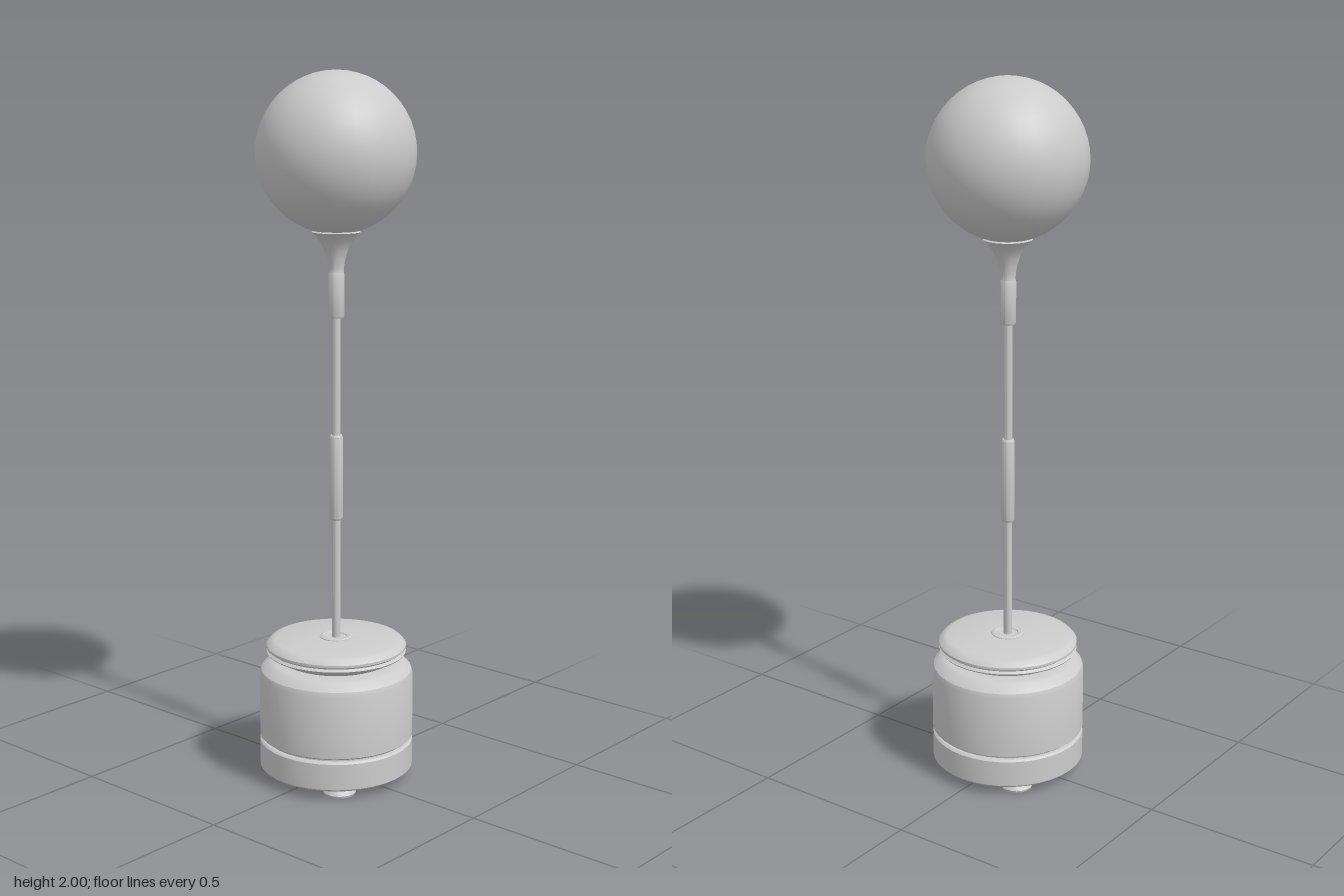
import * as THREE from 'three';
import { toCreasedNormals } from 'three/addons/utils/BufferGeometryUtils.js';

const material = new THREE.MeshStandardMaterial({ color: 0xcccccc });

// Turned part from [radius, height] pairs, listed from bottom to top
function turned(name, profile, segments = 32) {
  const points = profile.map(([r, y]) => new THREE.Vector2(r, y));
  const geometry = toCreasedNormals(new THREE.LatheGeometry(points, segments), 0.5);
  const mesh = new THREE.Mesh(geometry, material);
  mesh.name = name;
  return mesh;
}

export function createModel() {
  const model = new THREE.Group();
  model.name = 'ballLamp';

  // Four tapered feet
  const feet = new THREE.Group();
  feet.name = 'feet';
  for (const x of [-0.11, 0.11]) {
    for (const z of [-0.11, 0.11]) {
      const foot = turned('foot', [[0, 0], [0.045, 0], [0.047, 0.006], [0.036, 0.022], [0.036, 0.035], [0, 0.035]], 20);
      foot.position.set(x, 0, z);
      feet.add(foot);
    }
  }
  model.add(feet);

  // Base drum: lower band, groove, main body and chamfered shoulder
  model.add(turned('baseBand', [
    [0, 0.027], [0.214, 0.027], [0.22, 0.033], [0.22, 0.108], [0.214, 0.113], [0.205, 0.113],
  ], 36));
  model.add(turned('baseBody', [
    [0.205, 0.108], [0.205, 0.12], [0.214, 0.12], [0.22, 0.125], [0.22, 0.305],
    [0.216, 0.318], [0.195, 0.337], [0.18, 0.342], [0.14, 0.342], [0, 0.342],
  ], 36));

  // Lid flaring out above a recessed neck, with a beaded rim
  model.add(turned('lid', [
    [0.145, 0.338], [0.15, 0.345], [0.165, 0.35], [0.197, 0.367], [0.2, 0.371], [0.192, 0.377],
    [0.2, 0.383], [0.2, 0.39], [0.188, 0.402], [0.175, 0.406], [0.05, 0.41], [0, 0.41],
  ], 36));

  // Small collar where the rod enters the lid
  model.add(turned('collar', [
    [0.048, 0.405], [0.047, 0.412], [0.04, 0.415], [0.03, 0.413], [0.026, 0.407],
  ], 24));

  // Rod with a thicker grip
  model.add(turned('rod', [[0.0125, 0.38], [0.0125, 1.4]], 16));
  model.add(turned('grip', [
    [0.0125, 0.755], [0.016, 0.755], [0.019, 0.761], [0.019, 0.994], [0.016, 1], [0.0125, 1],
  ], 20));

  // Socket flaring up to cradle the ball
  model.add(turned('socket', [
    [0.0125, 1.33], [0.021, 1.33], [0.023, 1.334], [0.023, 1.45], [0.021, 1.455], [0.022, 1.472], [0.026, 1.495],
    [0.034, 1.52], [0.047, 1.543], [0.062, 1.56], [0.068, 1.566], [0.06, 1.57],
  ], 24));

  // Ball
  const ball = new THREE.Mesh(new THREE.SphereGeometry(0.22, 32, 24), material);
  ball.name = 'ball';
  ball.position.y = 1.78;
  model.add(ball);

  return model;
}
